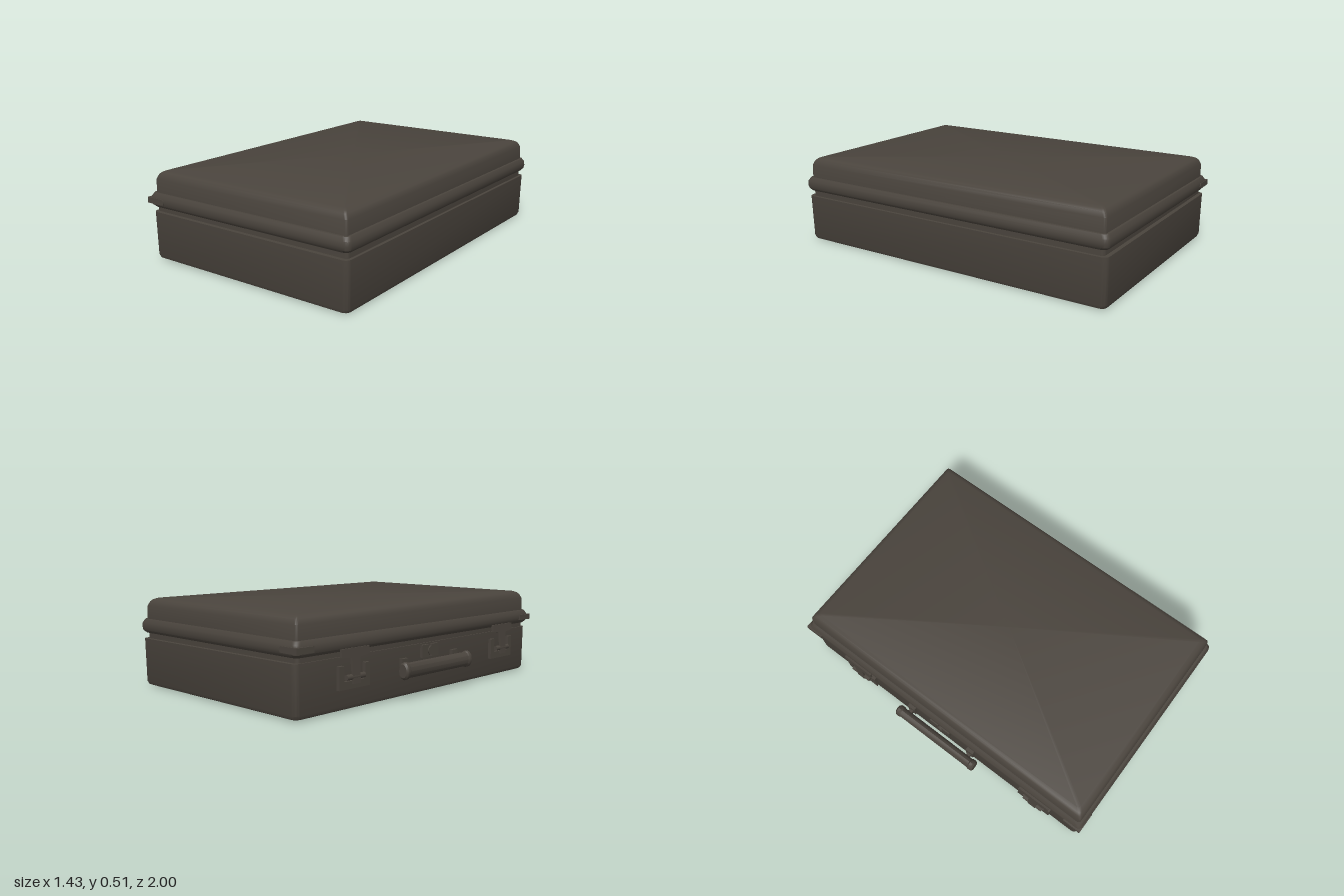
import * as THREE from 'three';
import { toCreasedNormals } from 'three/addons/utils/BufferGeometryUtils.js';

const material = new THREE.MeshStandardMaterial({ color: 0x4a443d });

function add(parent, name, geometry, x = 0, y = 0, z = 0) {
  const mesh = new THREE.Mesh(geometry, material);
  mesh.name = name;
  mesh.position.set(x, y, z);
  parent.add(mesh);
  return mesh;
}

// Closed loft of rounded rectangles; each section is [height, inset]
function shell(x0, x1, halfZ, radius, sections) {
  const pos = [], index = [], arc = 4, n = 4 * (arc + 1);
  const cx = (x0 + x1) / 2;
  for (const [y, inset] of sections) {
    const hx = (x1 - x0) / 2 - inset, hz = halfZ - inset;
    for (let c = 0; c < 4; c++) {
      const sx = c === 0 || c === 3 ? 1 : -1, sz = c < 2 ? -1 : 1;
      for (let k = 0; k <= arc; k++) {
        const a = (c + k / arc) * Math.PI / 2;
        pos.push(cx + sx * (hx - radius) + radius * Math.cos(a), y,
          sz * (hz - radius) - radius * Math.sin(a));
      }
    }
  }
  const last = sections.length - 1;
  for (let s = 0; s < last; s++) {
    for (let i = 0; i < n; i++) {
      const j = (i + 1) % n, a = s * n, b = a + n;
      index.push(a + i, a + j, b + j, a + i, b + j, b + i);
    }
  }
  const bottom = pos.length / 3, top = bottom + 1;
  pos.push(cx, sections[0][0], 0, cx, sections[last][0], 0);
  for (let i = 0; i < n; i++) {
    const j = (i + 1) % n;
    index.push(bottom, j, i, top, last * n + i, last * n + j);
  }
  const g = new THREE.BufferGeometry();
  g.setAttribute('position', new THREE.Float32BufferAttribute(pos, 3));
  g.setIndex(index);
  return toCreasedNormals(g, 0.6);
}

// Flat plate lying on the latch side: outline in (z, y), thickness towards -x
function plate(points, depth) {
  const shape = new THREE.Shape(points.map(([u, v]) => new THREE.Vector2(u, v)));
  const g = new THREE.ExtrudeGeometry(shape, { depth, bevelEnabled: false });
  return g.rotateY(-Math.PI / 2);
}

function latch(z) {
  const g = new THREE.Group();
  g.name = 'latch';
  g.position.z = z;
  // Notched base plate
  add(g, 'latchPlate', plate([[-0.11, 0.12], [0.11, 0.12], [0.11, 0.24], [0.075, 0.24],
    [0.075, 0.16], [-0.075, 0.16], [-0.075, 0.24], [-0.11, 0.24]], 0.02), -0.62);
  // T-shaped lever leaning in towards the rim
  const lever = add(g, 'latchLever', plate([[-0.025, 0], [0.025, 0], [0.03, 0.13],
    [0.1, 0.14], [0.1, 0.18], [-0.1, 0.18], [-0.1, 0.14], [-0.03, 0.13]], 0.012), -0.645, 0.145, 0);
  lever.rotation.z = -0.06;
  const pin = add(g, 'latchPin', new THREE.CylinderGeometry(0.015, 0.015, 0.13, 8), -0.642, 0.18, 0);
  pin.rotation.x = Math.PI / 2;
  return g;
}

export function createModel() {
  const model = new THREE.Group();
  model.name = 'case';

  // Main body, very slightly tilted
  const base = add(model, 'base', shell(-0.62, 0.7, 0.99, 0.03,
    [[0.005, 0.025], [0.012, 0.01], [0.03, 0.003], [0.28, 0]]));
  base.rotation.z = -0.005;
  add(model, 'neck', shell(-0.61, 0.685, 0.967, 0.02, [[0.27, 0], [0.32, 0]]));

  // Lid with bulging rim and bevelled top
  add(model, 'rim', shell(-0.637, 0.712, 0.998, 0.03,
    [[0.31, 0.018], [0.325, 0.004], [0.345, 0], [0.37, 0.002], [0.39, 0.014]]));
  add(model, 'lid', shell(-0.61, 0.685, 0.972, 0.015,
    [[0.37, 0], [0.465, 0.002], [0.49, 0.013], [0.502, 0.025], [0.51, 0.045]]));

  // Clips wrapping the two corners on the latch side
  for (const s of [-1, 1]) {
    const clip = new THREE.Group();
    clip.name = 'cornerClip';
    add(clip, 'clipEnd', new THREE.BoxGeometry(0.11, 0.032, 0.02), -0.59, 0.347, s * 0.991);
    const tip = add(clip, 'clipTip', new THREE.CylinderGeometry(0.016, 0.016, 0.02, 12),
      -0.535, 0.347, s * 0.991);
    tip.rotation.x = Math.PI / 2;
    add(clip, 'clipSide', new THREE.BoxGeometry(0.02, 0.032, 0.11), -0.635, 0.347, s * 0.945);
    model.add(clip);
  }

  for (const z of [-0.61, 0.69]) model.add(latch(z));

  // Carrying handle: oval grip with rounded end collars
  const handle = new THREE.Group();
  handle.name = 'handle';
  const profile = [[0, -0.29], [0.037, -0.29], [0.048, -0.28], [0.048, -0.262], [0.042, -0.255],
    [0.042, 0.255], [0.048, 0.262], [0.048, 0.28], [0.037, 0.29], [0, 0.29]]
    .map(([r, y]) => new THREE.Vector2(r, y));
  const grip = new THREE.LatheGeometry(profile, 12);
  grip.rotateX(Math.PI / 2).scale(0.7, 1, 1);
  add(handle, 'grip', toCreasedNormals(grip, 0.6), -0.68, 0.165, 0);
  for (const z of [-0.22, 0.22]) {
    add(handle, 'handleMount', new THREE.BoxGeometry(0.02, 0.09, 0.05), -0.628, 0.175, z);
    add(handle, 'handleLink', new THREE.BoxGeometry(0.05, 0.03, 0.025), -0.645, 0.165, z);
  }
  model.add(handle);

  // Central lock: two small plates with a round barrel
  const lock = new THREE.Group();
  lock.name = 'lock';
  for (const z of [-0.042, 0.042]) {
    add(lock, 'lockPlate', new THREE.BoxGeometry(0.016, 0.07, 0.06), -0.626, 0.24, z);
  }
  const barrel = add(lock, 'lockBarrel', new THREE.CylinderGeometry(0.025, 0.025, 0.03, 12), -0.625, 0.24, 0);
  barrel.rotation.z = Math.PI / 2;
  model.add(lock);

  return model;
}
